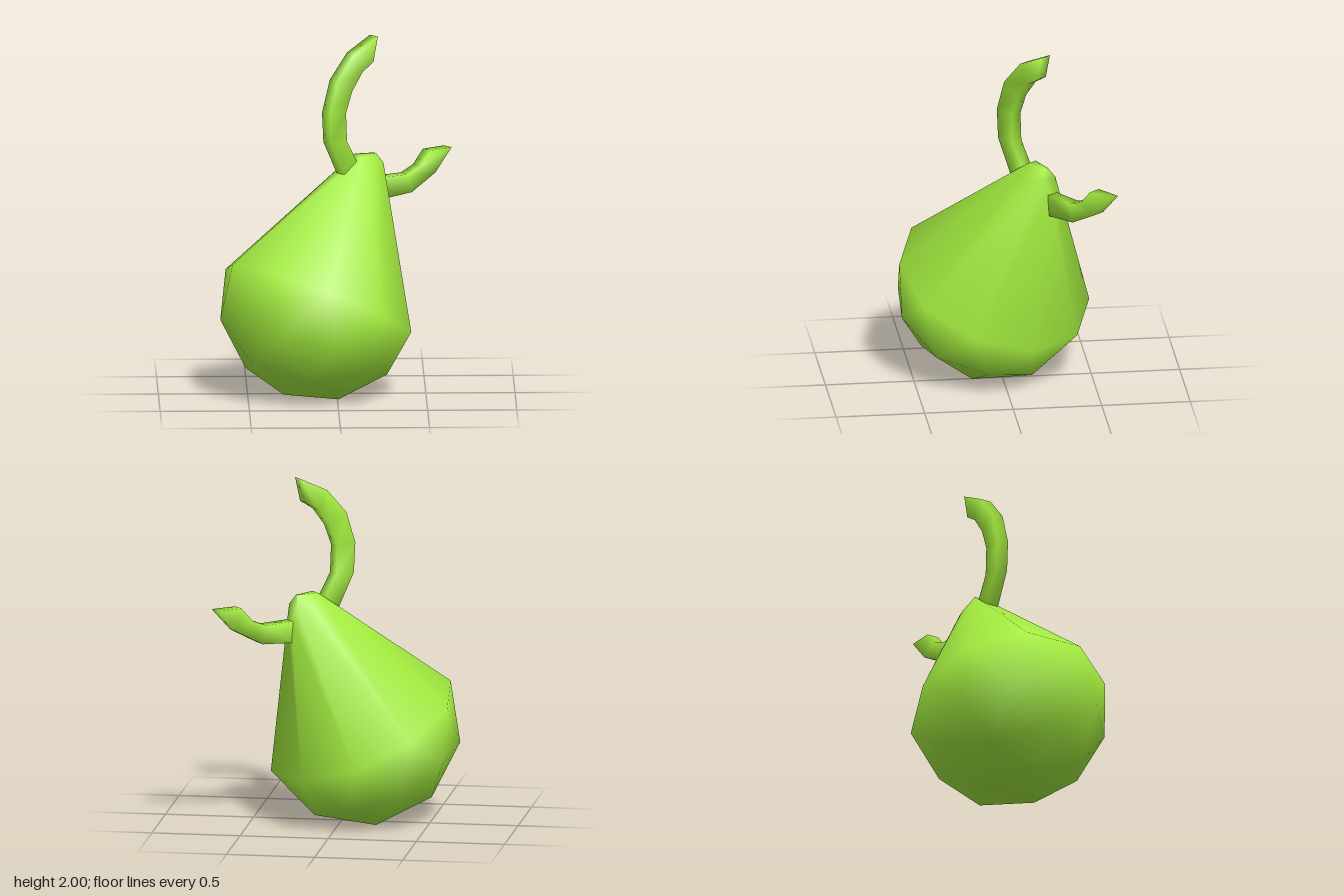
import * as THREE from 'three';
import { mergeVertices } from 'three/addons/utils/BufferGeometryUtils.js';
import { ConvexGeometry } from 'three/addons/geometries/ConvexGeometry.js';

const material = new THREE.MeshStandardMaterial({ color: 0xa3eb3f });

// Lower half of a low-poly ball, with its pole on the leaning axis of the body
function bowlPoints(radius, x, y) {
  let g = new THREE.IcosahedronGeometry(radius, 1);
  g.deleteAttribute('normal');
  g.deleteAttribute('uv');
  g = mergeVertices(g, 1e-3);
  g.rotateZ(-1.0172);
  const axis = new THREE.Vector3(0.447, 0.894, 0);
  const p = g.attributes.position;
  return Array.from({ length: p.count }, (_, i) => new THREE.Vector3().fromBufferAttribute(p, i))
    .filter((v) => v.dot(axis) < 0.1 * radius)
    .map((v) => v.add(new THREE.Vector3(x, y, 0)));
}

// Small blunt tip: x, y and half width of mirrored point pairs
function tipPoints() {
  return [[0.19, 1.335, 0.035], [0.31, 1.33, 0.01], [0.335, 1.275, 0.045], [0.36, 1.2, 0.02], [0.25, 1.26, 0.08]]
    .flatMap(([x, y, z]) => [new THREE.Vector3(x, y, z), new THREE.Vector3(x, y, -z)]);
}

// Smooth skin stretched from the bowl up to the tip
function bodyGeometry() {
  let g = new ConvexGeometry([...bowlPoints(0.565, -0.102, 0.537), ...tipPoints()]);
  g.deleteAttribute('normal');
  g = mergeVertices(g, 1e-4);
  g.computeVertexNormals();
  return g;
}

// Curved bar with a rectangular section; left and right are its edges along the path
function stemGeometry(left, right, half) {
  const positions = [], index = [];
  left.forEach(([lx, ly], i) => {
    const [rx, ry] = right[i];
    positions.push(lx, ly, half, lx, ly, -half, rx, ry, -half, rx, ry, half);
    if (i === 0) return;
    for (let j = 0; j < 4; j++) {
      const k = (j + 1) % 4, lo = (i - 1) * 4, hi = i * 4;
      index.push(lo + j, hi + j, lo + k, lo + k, hi + j, hi + k);
    }
  });
  const e = (left.length - 1) * 4;
  index.push(0, 1, 2, 0, 2, 3, e, e + 2, e + 1, e, e + 3, e + 2);
  const g = new THREE.BufferGeometry();
  g.setAttribute('position', new THREE.Float32BufferAttribute(positions, 3));
  g.setIndex(index);
  g.computeVertexNormals();
  return g;
}

function addPart(parent, name, geometry) {
  const mesh = new THREE.Mesh(geometry, material);
  mesh.name = name;
  parent.add(mesh);
}

export function createModel() {
  const model = new THREE.Group();
  model.name = 'pearShape';

  // Everything is symmetric about one upright plane, turned about y
  const turned = new THREE.Group();
  turned.name = 'turnedParts';
  const yaw = 0.672;
  turned.rotation.y = yaw;
  turned.position.set(-0.037 * Math.sin(yaw), 0, -0.037 * Math.cos(yaw));
  model.add(turned);

  addPart(turned, 'body', bodyGeometry());
  addPart(turned, 'upperStem', stemGeometry(
    [[0.098, 1.165], [-0.037, 1.43], [-0.047, 1.6], [0.01, 1.78], [0.135, 1.92], [0.302, 2]],
    [[0.19, 1.235], [0.077, 1.43], [0.07, 1.59], [0.115, 1.71], [0.19, 1.81], [0.27, 1.86]],
    0.035));
  addPart(turned, 'lowerStem', stemGeometry(
    [[0.355, 1.19], [0.525, 1.185], [0.615, 1.22], [0.688, 1.3]],
    [[0.36, 1.068], [0.55, 1.08], [0.72, 1.17], [0.84, 1.3]],
    0.035));
  return model;
}
